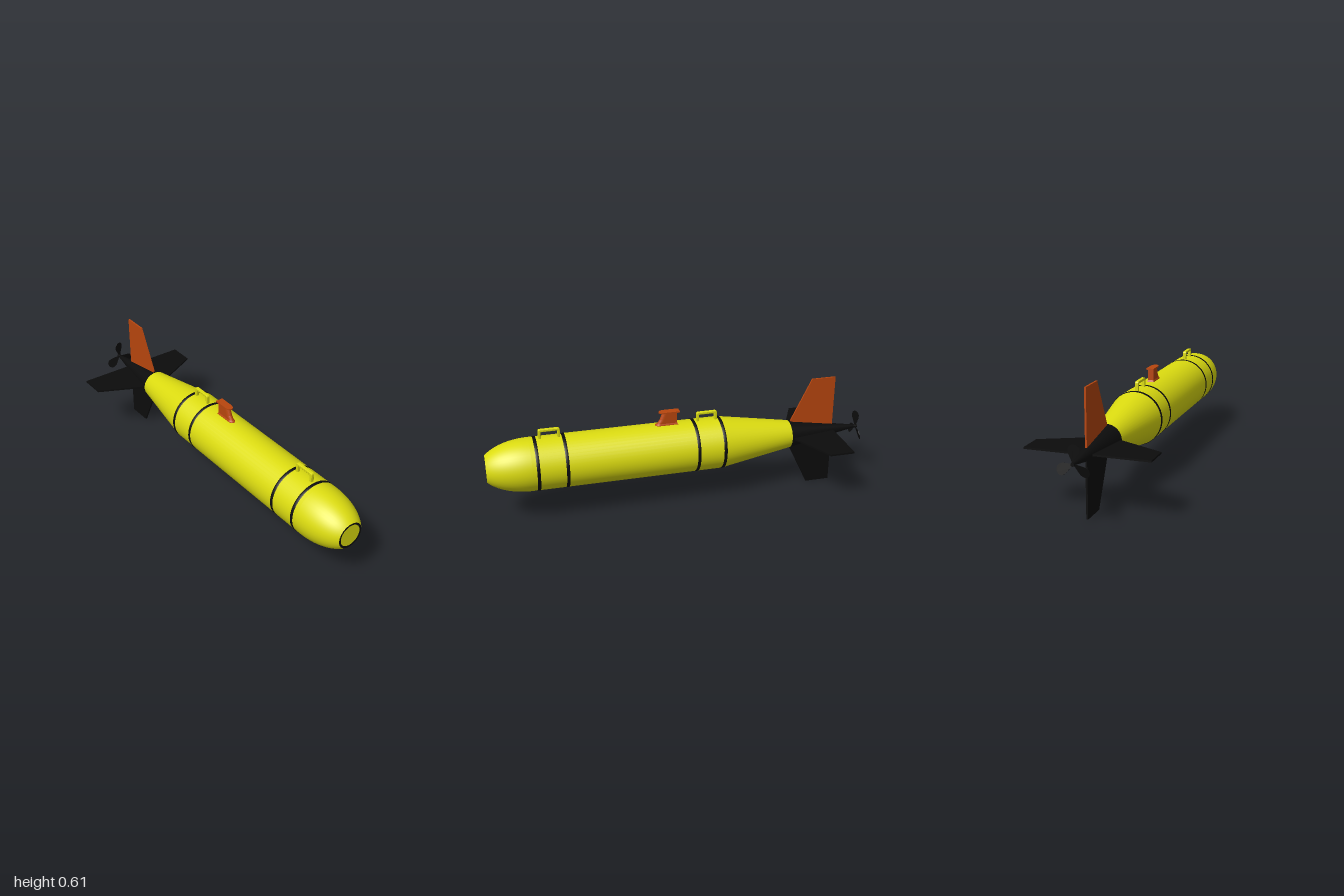
import * as THREE from 'three';

const AXIS = 0.303, R = 0.137;
const mat = (color) => new THREE.MeshStandardMaterial({ color });

export function createModel() {
  const model = new THREE.Group();
  model.name = 'underwaterVehicle';
  const yellow = mat(0xdcdc10), black = mat(0x0c0c0c), orange = mat(0xb8460e);
  const bladeMat = mat(0x0c0c0c);
  bladeMat.side = THREE.DoubleSide;

  // everything is built around the hull axis, then lifted
  const hull = new THREE.Group();
  hull.name = 'vehicle';
  hull.position.y = AXIS;
  model.add(hull);

  const add = (name, geometry, material, parent = hull) => {
    const mesh = new THREE.Mesh(geometry, material);
    mesh.name = name;
    parent.add(mesh);
    return mesh;
  };

  // solid of revolution along x; profile points are [x, radius], tail to nose
  const turned = (name, profile, material) => {
    const g = new THREE.LatheGeometry(profile.map(([x, r]) => new THREE.Vector2(r, x)), 48);
    return add(name, g.rotateZ(-Math.PI / 2), material);
  };

  // hull sections
  turned('tailCone', [[-0.985, 0], [-0.985, 0.007], [-0.6, 0.073]], black);
  turned('rearTaper', [[-0.6, 0.073], [-0.21, R]], yellow);
  turned('midBody', [[-0.21, R], [0.78, R]], yellow);
  const nose = [];
  for (let i = 0; i <= 16; i++) {
    const s = (i / 16) * Math.asin(0.868);
    nose.push([0.78 + 0.2535 * Math.sin(s), R * Math.cos(s)]);
  }
  turned('nose', nose, yellow);
  turned('noseRing', [[0.999, 0.068], [0.999, 0.057]], black);
  turned('noseWindow', [[0.998, 0.058], [0.998, 0]], yellow);

  // black bands
  for (const x of [-0.21, -0.07, 0.605, 0.75]) {
    const r = R + 0.001;
    turned('band', [[x - 0.008, R - 0.003], [x - 0.008, r], [x + 0.008, r], [x + 0.008, R - 0.003]], black);
  }

  // four tail fins, the upper one orange
  const finShape = new THREE.Shape([
    [-0.85, 0.02], [-0.61, 0.06], [-0.61, 0.078], [-0.72, 0.303], [-0.85, 0.303],
  ].map(([x, y]) => new THREE.Vector2(x, y)));
  const finGeometry = new THREE.ExtrudeGeometry(finShape, { depth: 0.009, bevelEnabled: false });
  finGeometry.translate(0, 0, -0.0045);
  ['upperFin', 'leftFin', 'lowerFin', 'rightFin'].forEach((name, i) => {
    add(name, finGeometry, i === 0 ? orange : black).rotation.x = (i * Math.PI) / 2;
  });

  // propeller: three broad, pitched blades on a small hub
  const propeller = new THREE.Group();
  propeller.name = 'propeller';
  propeller.position.x = -0.99;
  hull.add(propeller);
  add('hub', new THREE.CylinderGeometry(0.009, 0.009, 0.02, 16).rotateZ(Math.PI / 2), black, propeller);
  const bladeShape = new THREE.Shape();
  bladeShape.moveTo(-0.005, 0.004);
  bladeShape.bezierCurveTo(-0.012, 0.03, -0.036, 0.045, -0.027, 0.07);
  bladeShape.bezierCurveTo(-0.02, 0.092, 0.016, 0.092, 0.022, 0.07);
  bladeShape.bezierCurveTo(0.026, 0.045, 0.01, 0.03, 0.005, 0.004);
  const blade = new THREE.ExtrudeGeometry(bladeShape, { depth: 0.002, bevelEnabled: false, curveSegments: 10 });
  blade.translate(0, 0, -0.001).rotateY(Math.PI / 2 + 0.3);
  for (let i = 0; i < 3; i++) {
    add('blade', blade, bladeMat, propeller).rotation.x = (i * Math.PI * 2) / 3;
  }

  // lifting handles: rounded arches
  const arch = (target, w, h) => {
    const c = 0.012;
    target.moveTo(-w, 0);
    target.lineTo(-w, h - c);
    target.quadraticCurveTo(-w, h, -w + c, h);
    target.lineTo(w - c, h);
    target.quadraticCurveTo(w, h, w, h - c);
    target.lineTo(w, 0);
  };
  const handleShape = new THREE.Shape();
  arch(handleShape, 0.055, 0.053);
  handleShape.lineTo(0.041, 0);
  handleShape.lineTo(0.041, 0.039);
  handleShape.lineTo(-0.041, 0.039);
  handleShape.lineTo(-0.041, 0);
  const handle = new THREE.ExtrudeGeometry(handleShape, {
    depth: 0.012, bevelSize: 0.003, bevelOffset: -0.003, bevelThickness: 0.003, bevelSegments: 2, curveSegments: 6,
  }).translate(0, 0, -0.006);
  for (const x of [-0.142, 0.675]) {
    add('handle', handle, yellow).position.set(x, R - 0.005, 0);
  }

  // sensor mast: stacked D-shaped sections, [y, back x, front x, half width]
  const levels = [
    [0.13, 0.01, 0.135, 0.018], [0.139, 0.015, 0.133, 0.017], [0.145, 0.02, 0.122, 0.014],
    [0.165, 0.02, 0.108, 0.014], [0.2, 0.02, 0.094, 0.014], [0.202, 0.005, 0.112, 0.02],
    [0.209, 0.005, 0.112, 0.02],
  ];
  const section = ([y, back, front, half]) => {
    const ring = [[back, y, half]];
    for (let i = 0; i <= 12; i++) {
      const a = Math.PI / 2 - (i / 12) * Math.PI;
      ring.push([front - half * 1.5 + half * 1.5 * Math.cos(a), y, half * Math.sin(a)]);
    }
    ring.push([back, y, -half]);
    return ring;
  };
  const rings = levels.map(section), n = rings[0].length, pos = [];
  const tri = (...corners) => corners.forEach((c) => pos.push(...c));
  for (let k = 0; k + 1 < rings.length; k++) {
    for (let i = 0; i < n; i++) {
      const j = (i + 1) % n, lo = rings[k], hi = rings[k + 1];
      tri(lo[i], lo[j], hi[j]);
      tri(lo[i], hi[j], hi[i]);
    }
  }
  const top = rings[rings.length - 1];
  for (let i = 1; i + 1 < n; i++) tri(top[0], top[i], top[i + 1]);
  const mast = new THREE.BufferGeometry();
  mast.setAttribute('position', new THREE.Float32BufferAttribute(pos, 3));
  mast.computeVertexNormals();
  add('sensorMast', mast, orange);

  return model;
}
